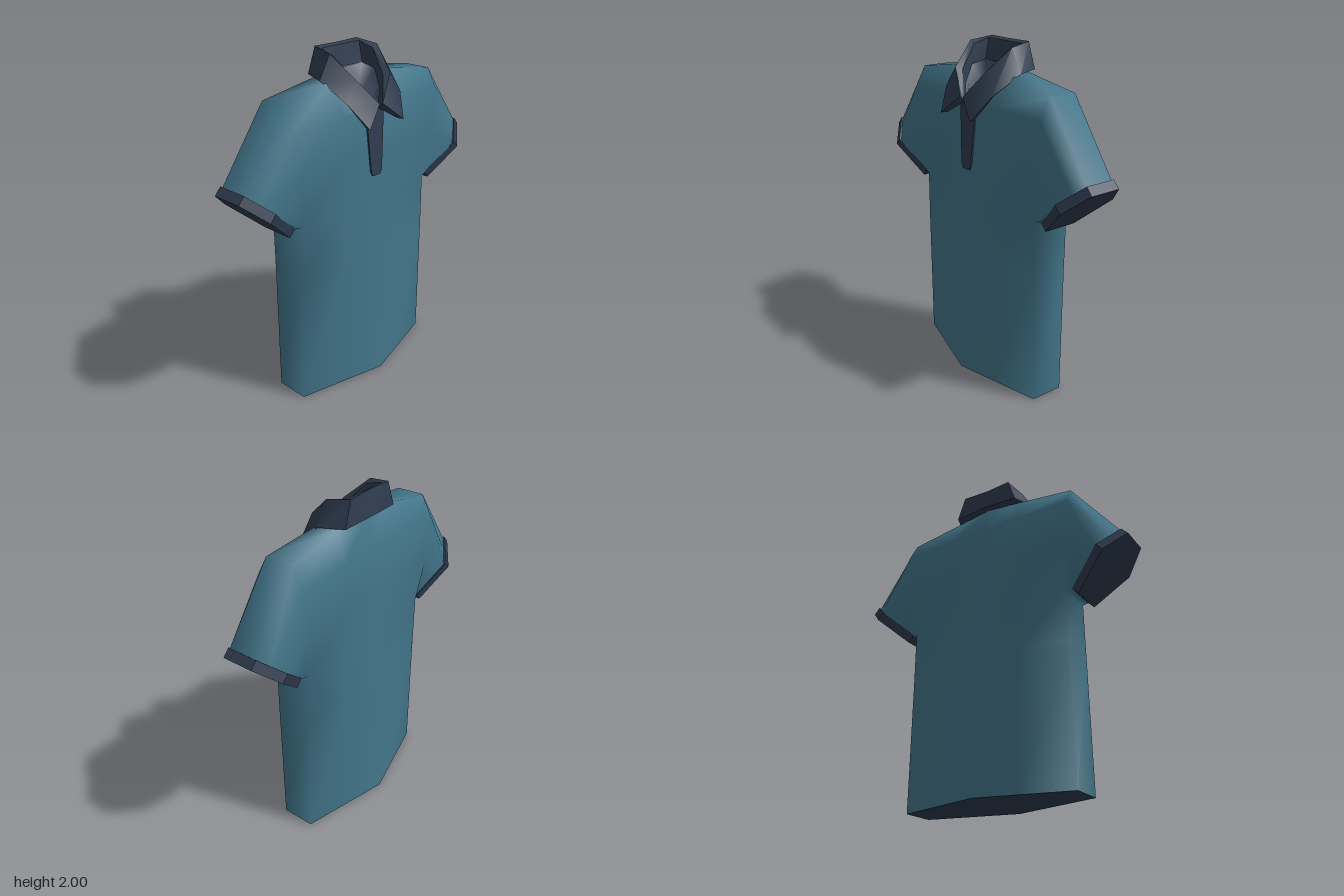
import * as THREE from 'three';
import { toCreasedNormals } from 'three/addons/utils/BufferGeometryUtils.js';

const fabric = new THREE.MeshStandardMaterial({ color: 0x42758a, side: THREE.DoubleSide });
fabric.name = 'teal fabric';
const trim = new THREE.MeshStandardMaterial({ color: 0x2f3c4f, side: THREE.DoubleSide });
trim.name = 'navy trim';

// Collects points and quads into an indexed geometry
function builder() {
  const pos = [], idx = [];
  return {
    add: (x, y, z) => pos.push(x, y, z) / 3 - 1,
    tri: (a, b, c) => idx.push(a, b, c),
    quad: (a, b, c, d, flip = false) =>
      flip ? idx.push(a, d, c, a, c, b) : idx.push(a, b, c, a, c, d),
    build() {
      const g = new THREE.BufferGeometry();
      g.setAttribute('position', new THREE.Float32BufferAttribute(pos, 3));
      g.setIndex(idx);
      g.computeVertexNormals();
      return g;
    },
  };
}

function part(name, geometry, material) {
  const mesh = new THREE.Mesh(geometry, material);
  mesh.name = name;
  return mesh;
}

// Ten points round the body: front from +x to -x, then back from -x to +x
function ring(front, back) {
  const [s, n, c] = front, [bs, bn, bc] = back;
  const m = ([x, y, z]) => [-x, y, z];
  return [s, n, c, m(n), m(s), m(bs), m(bn), bc, bn, bs];
}

// Level ring: y, half width, z of side corner and centre, front and back
function level([y, w, fs, fc, bs, bc]) {
  const nx = 0.24, t = nx / w, mix = (a, b) => a + (b - a) * t;
  return ring(
    [[w, y, fs], [nx, y, mix(fc, fs)], [0, y, fc]],
    [[w, y, bs], [nx, y, mix(bc, bs)], [0, y, bc]]);
}

const LEVELS = [
  [0, 0.54, 0.09, 0.23, -0.11, -0.25],
  [0.8, 0.528, 0.1, 0.195, -0.12, -0.212],
  [1.12, 0.525, 0.1, 0.178, -0.125, -0.195],
  [1.42, 0.555, 0.14, 0.16, -0.168, -0.18],
  [1.68, 0.58, 0.13, 0.145, -0.16, -0.167],
];

// Point on the slanted sleeve opening, t = 0 at the underarm
const opening = (t, z, [x0, y0, x1, y1]) => [x0 + (x1 - x0) * t, y0 + (y1 - y0) * t, z];

// Body and sleeves in one smooth skin, open at neck, hem and cuffs
function shirtSkin() {
  const b = builder();
  const rings = LEVELS.map(level);
  rings.push(ring(
    [[0.58, 1.79, 0.07], [0.2, 1.845, 0.03], [0, 1.68, 0.14]],
    [[0.58, 1.79, -0.1], [0.2, 1.85, -0.09], [0, 1.86, -0.11]]));
  const id = rings.map(r => r.map(p => b.add(...p)));
  for (let r = 0; r + 1 < id.length; r++) {
    for (let i = 0; i < 10; i++) {
      if (r >= 2 && i % 5 === 4) continue; // armhole
      const j = (i + 1) % 10;
      b.quad(id[r][j], id[r][i], id[r + 1][i], id[r + 1][j]);
    }
  }
  // Shoulder tops
  const top = id[5];
  b.quad(top[0], top[9], top[8], top[1]);
  b.quad(top[3], top[6], top[5], top[4]);
  // Sleeves
  const plane = [0.568, 1.118, 0.876, 1.398];
  const end = [[0, 0.085], [0.6, 0.165], [0.82, 0.118], [1, 0.075],
    [1, -0.095], [0.82, -0.138], [0.6, -0.185], [0, -0.105]];
  for (const side of [1, -1]) {
    const f = side > 0 ? 0 : 4, k = side > 0 ? 9 : 5;
    const hole = [2, 3, 4, 5].map(r => id[r][f]).concat([5, 4, 3, 2].map(r => id[r][k]));
    const out = end.map(([t, z]) => {
      const p = opening(t, z, plane);
      return b.add(p[0] * side, p[1], p[2]);
    });
    for (let i = 0; i < 8; i++) {
      const j = (i + 1) % 8;
      b.quad(hole[i], out[i], out[j], hole[j], side < 0);
    }
  }
  return b.build();
}

// Six-sided closed band at the sleeve end
function cuff(side) {
  const b = builder();
  const shape = [[0, 0.09], [0.62, 0.172], [1, 0.08], [1, -0.105], [0.62, -0.195], [0, -0.11]];
  const loops = [[0.562, 1.124, 0.877, 1.409], [0.6, 1.083, 0.915, 1.368]].map(plane =>
    shape.map(([t, z]) => {
      const p = opening(t, z, plane);
      return b.add(p[0] * side, p[1], p[2]);
    }));
  const [A, B] = loops, flip = side < 0;
  for (let i = 0; i < 6; i++) {
    const j = (i + 1) % 6;
    b.quad(A[i], B[i], B[j], A[j], flip);
  }
  for (const [L, f] of [[B, !flip], [A, flip]]) {
    b.quad(L[0], L[1], L[4], L[5], f);
    b.quad(L[1], L[2], L[3], L[4], f);
  }
  return toCreasedNormals(b.build(), 0.5);
}

// Dark inside of the hem, slightly hollow
function hemLining() {
  const b = builder();
  const pts = level(LEVELS[0]).map(p => b.add(...p));
  const c = b.add(0, 0.03, -0.01);
  pts.forEach((p, i) => b.tri(p, pts[(i + 1) % 10], c));
  return toCreasedNormals(b.build(), 0.3);
}

// Folded collar: stations run from back centre to front end, mirrored
function collar() {
  const b = builder();
  const outer = [[0, 1.86, -0.15], [0.215, 1.855, -0.14], [0.268, 1.85, 0], [0.215, 1.735, 0.155], [0.14, 1.603, 0.245]];
  const ridge = [[0, 2, -0.125], [0.165, 2, -0.135], [0.19, 1.98, 0], [0.135, 1.85, 0.145], [0.012, 1.71, 0.2]];
  const lip = [[0, 1.99, -0.1], [0.15, 1.99, -0.1], [0.155, 1.96, 0], [0.11, 1.835, 0.115], [0.012, 1.695, 0.185]];
  const inner = [[0, 1.87, -0.085], [0.15, 1.87, -0.075], [0.15, 1.85, 0.02], [0.1, 1.76, 0.1], [0.012, 1.68, 0.165]];
  const under = outer.map(([x, y, z]) => [x * 0.93, y, z * 0.85]);
  const full = half => half.slice(1).reverse().map(([x, y, z]) => [-x, y, z]).concat(half);
  const rows = [outer, ridge, lip, inner, under].map(h => full(h).map(p => b.add(...p)));
  for (let r = 0; r < 5; r++) {
    const A = rows[r], B = rows[(r + 1) % 5];
    for (let i = 0; i < 8; i++) b.quad(A[i + 1], A[i], B[i], B[i + 1], true);
  }
  // Closed front ends
  for (const [i, flip] of [[0, true], [8, false]]) {
    const e = rows.map(r => r[i]);
    b.quad(e[0], e[1], e[2], e[3], flip);
    flip ? b.tri(e[0], e[4], e[3]) : b.tri(e[0], e[3], e[4]);
  }
  return toCreasedNormals(b.build(), 0.7);
}

// Dark bowl closing the neck opening
function neckLining() {
  const b = builder();
  const half = [[0.012, 1.68, 0.165], [0.1, 1.76, 0.1], [0.15, 1.85, 0.02], [0.15, 1.87, -0.075]];
  const loop = half.concat(half.slice().reverse().map(([x, y, z]) => [-x, y, z])).map(p => b.add(...p));
  const c = b.add(0, 1.7, 0.02);
  loop.forEach((p, i) => b.tri(p, loop[(i + 1) % loop.length], c));
  return b.build();
}

// Button strip, a tapering plate that follows the chest
function placket() {
  const s = new THREE.Shape([[-0.075, 1.7], [-0.045, 1.32], [-0.03, 1.292], [0.03, 1.292], [0.045, 1.32], [0.075, 1.7]]
    .map(p => new THREE.Vector2(...p)));
  const g = new THREE.ExtrudeGeometry(s, { depth: 0.009, bevelEnabled: false });
  const p = g.attributes.position;
  for (let i = 0; i < p.count; i++) p.setZ(i, p.getZ(i) + 0.167 - (p.getY(i) - 1.29) * 0.05);
  g.computeVertexNormals();
  return g;
}

export function createModel() {
  const shirt = new THREE.Group();
  shirt.name = 'polo shirt';
  shirt.add(
    part('bodyAndSleeves', shirtSkin(), fabric),
    part('leftCuff', cuff(1), trim),
    part('rightCuff', cuff(-1), trim),
    part('hemLining', hemLining(), trim),
    part('collar', collar(), trim),
    part('neckLining', neckLining(), trim),
    part('placket', placket(), trim));
  return shirt;
}
